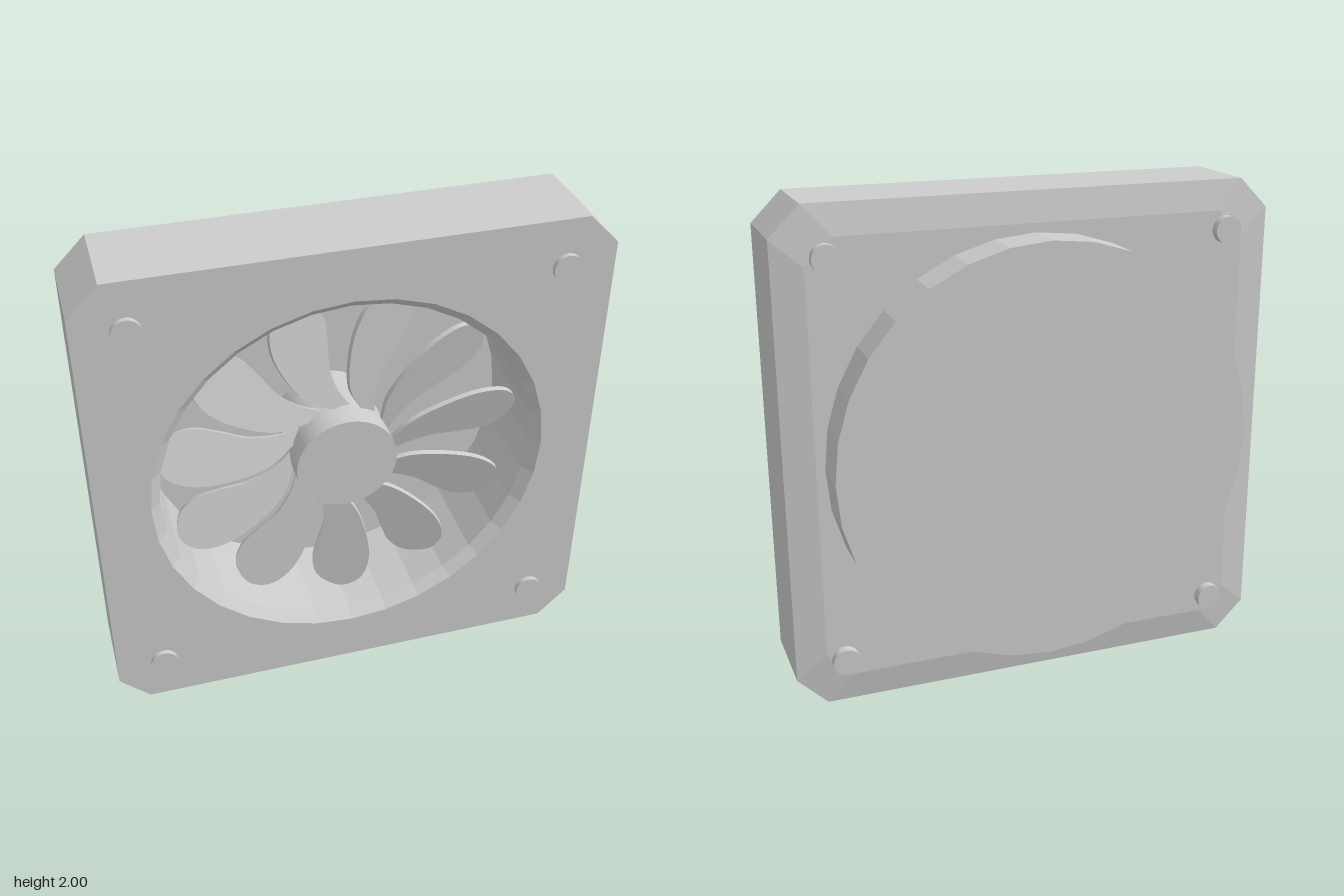
import * as THREE from 'three';

const material = new THREE.MeshStandardMaterial({ color: 0xcccccc, flatShading: true });
const smooth = new THREE.MeshStandardMaterial({ color: 0xcccccc });

function add(parent, name, geometry, mat = material) {
  const mesh = new THREE.Mesh(geometry, mat);
  mesh.name = name;
  parent.add(mesh);
  return mesh;
}

// Square outline with clipped corners and a round opening
function plateShape(half, clip, holeRadius) {
  const a = half, b = half - clip;
  const shape = new THREE.Shape([
    [a, -b], [a, b], [b, a], [-b, a], [-a, b], [-a, -b], [-b, -a], [b, -a],
  ].map(([x, y]) => new THREE.Vector2(x, y)));
  const hole = new THREE.Path();
  hole.absarc(0, 0, holeRadius, 0, Math.PI * 2, true);
  shape.holes.push(hole);
  return shape;
}

// Cylinder along z between two depths
function rod(radius, z0, z1, segments) {
  return new THREE.CylinderGeometry(radius, radius, z1 - z0, segments)
    .rotateX(Math.PI / 2).translate(0, 0, (z0 + z1) / 2);
}

export function createModel() {
  const model = new THREE.Group();
  model.name = 'coolingFan';
  const fan = new THREE.Group();
  fan.name = 'fanAssembly';
  fan.position.y = 1;
  model.add(fan);

  // Frame body
  const shape = plateShape(1, 0.12, 0.79);
  const body = new THREE.ExtrudeGeometry(shape, { depth: 0.355, bevelEnabled: false, curveSegments: 16 });
  add(fan, 'frame', body.translate(0, 0, -0.09));

  // Shallow sloped back: the rear outline is drawn inwards, the opening stays
  const back = new THREE.ExtrudeGeometry(shape, { depth: 0.022, bevelEnabled: false, curveSegments: 16 });
  const p = back.attributes.position;
  for (let i = 0; i < p.count; i++) {
    const x = p.getX(i), y = p.getY(i);
    if (p.getZ(i) < 0.01 && Math.hypot(x, y) > 0.9) p.setXY(i, x * 0.88, y * 0.88);
  }
  back.computeVertexNormals();
  add(fan, 'frameBack', back.translate(0, 0, -0.112));

  // Housing: rear drum, bevelled front lip, bore and floor in one profile
  const floor = -0.17;
  const profile = [
    [0, -0.285], [0.845, -0.285], [0.845, -0.1], [0.79, 0.265],
    [0.75, 0.225], [0.75, floor], [0, floor],
  ].map(([r, z]) => new THREE.Vector2(r, z));
  add(fan, 'housing', new THREE.LatheGeometry(profile, 32).rotateX(Math.PI / 2));

  // Hub
  add(fan, 'hub', rod(0.205, floor, 0.19, 32), smooth);

  // Curved, pitched blades around the hub
  const edge = (points) => points.map(([x, y]) => new THREE.Vector2(x, y));
  const blade = new THREE.Shape();
  blade.moveTo(-0.11, -0.15);
  blade.splineThru(edge([
    [-0.075, -0.26], [-0.07, -0.38], [-0.1, -0.5], [-0.118, -0.6], [-0.09, -0.69],
    [0, -0.742], [0.085, -0.7], [0.122, -0.59], [0.11, -0.45], [0.06, -0.3], [-0.03, -0.2],
  ]));
  blade.lineTo(-0.04, -0.15);
  const bladeGeometry = new THREE.ExtrudeGeometry(blade, { depth: 0.02, bevelEnabled: false, curveSegments: 36 })
    .translate(0, 0, -0.01).rotateY(-0.28).translate(0, 0, 0.09);
  const blades = new THREE.Group();
  blades.name = 'blades';
  fan.add(blades);
  const count = 11;
  for (let i = 0; i < count; i++) {
    add(blades, 'blade', bladeGeometry, smooth).rotation.z = (i * Math.PI * 2) / count;
  }

  // Corner bolts running through the frame
  const bolt = rod(0.055, -0.148, 0.285, 24);
  for (const sx of [-1, 1]) {
    for (const sy of [-1, 1]) {
      add(fan, 'cornerBolt', bolt, smooth).position.set(sx * 0.806, sy * 0.806, 0);
    }
  }
  return model;
}
